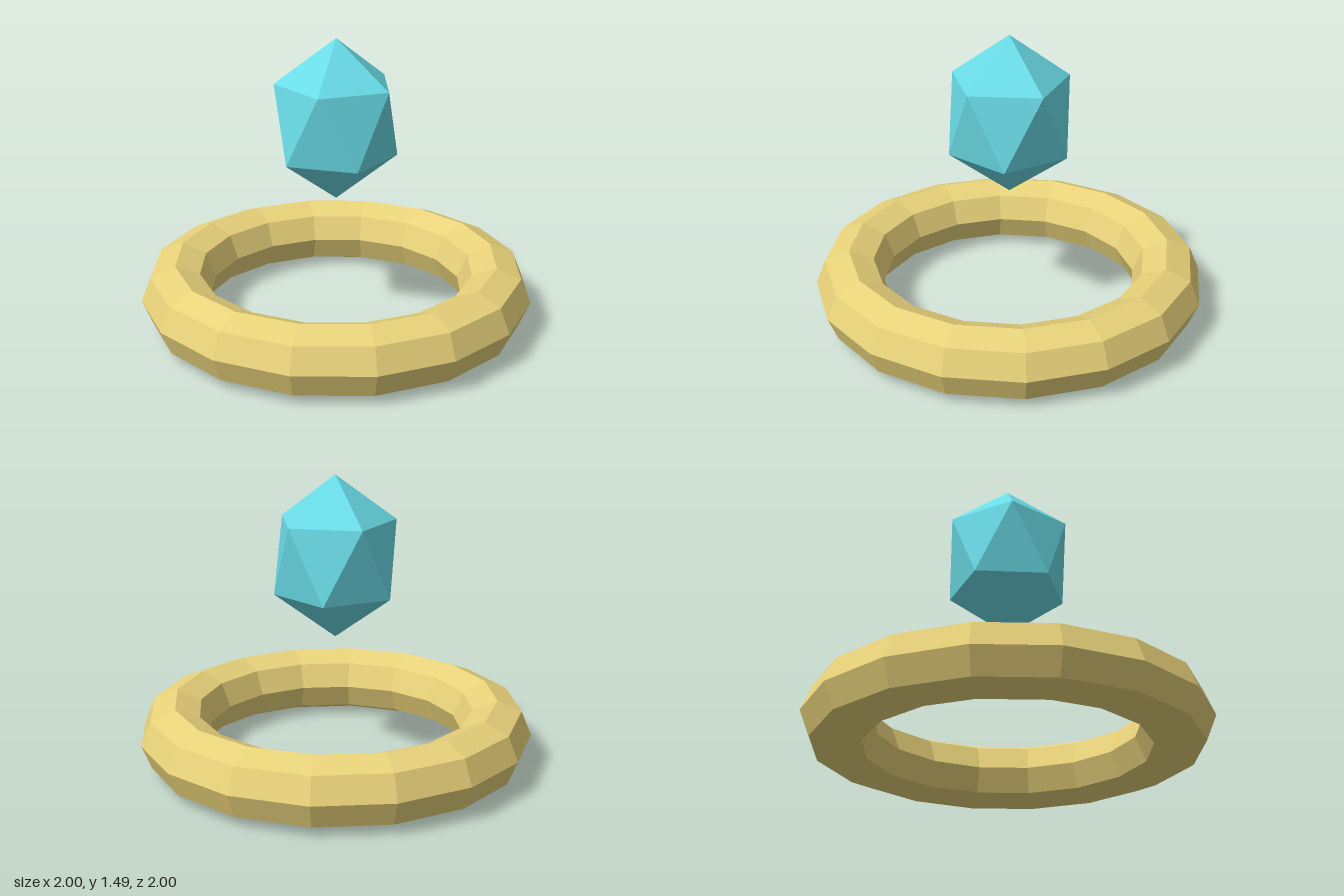
import * as THREE from 'three';

export function createModel() {
  const model = new THREE.Group();
  const add = (name, geometry, color, y) => {
    const material = new THREE.MeshStandardMaterial({ color, flatShading: true });
    const mesh = new THREE.Mesh(geometry, material);
    mesh.name = name;
    mesh.position.y = y;
    model.add(mesh);
  };

  // Low-poly ring lying flat: 16 segments around, 8-sided section
  const ring = new THREE.TorusGeometry(0.825, 0.175, 8, 16);
  ring.rotateX(Math.PI / 2);
  add('ring', ring, 0xe8d27a, 0.175);

  // Floating crystal: icosahedron tipped onto a vertex and stretched upwards
  const crystal = new THREE.IcosahedronGeometry(0.343, 0);
  crystal.rotateZ(-Math.atan(2 / (1 + Math.sqrt(5))));
  crystal.scale(1, 1.2, 1);
  add('crystal', crystal, 0x69dbe6, 1.075);

  return model;
}
